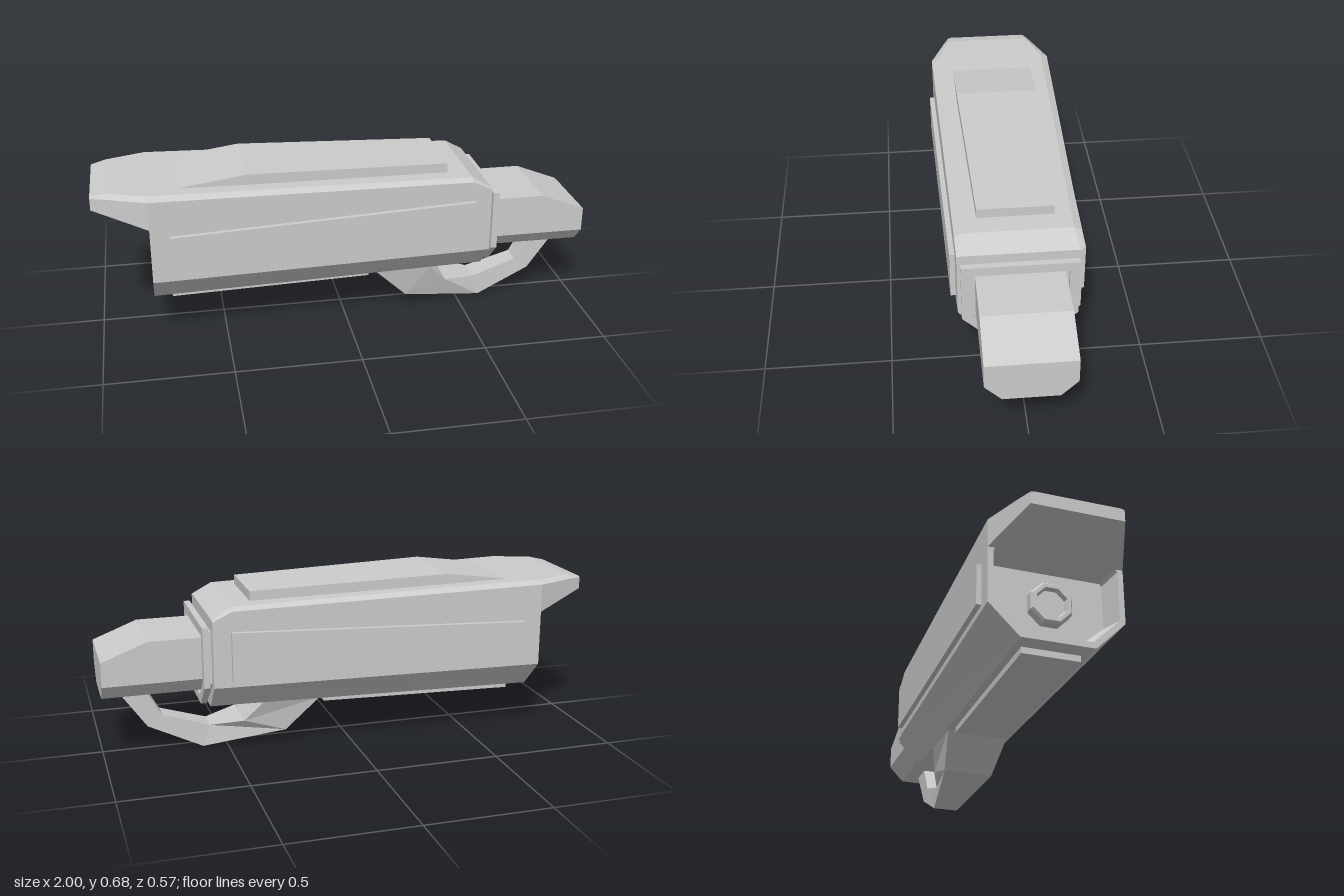
import * as THREE from 'three';

const material = new THREE.MeshStandardMaterial({ color: 0xcccccc, flatShading: true });

// Mirrors a half outline of [z, y] points (bottom to top) into a closed ring at x.
const sym = (x, half) => [
  ...half.map(([z, y]) => [x, y, z]),
  ...half.slice().reverse().map(([z, y]) => [x, y, -z]),
];

// Rectangular ring at x.
const rect = (x, z0, z1, y0, y1) => [[x, y0, z1], [x, y1, z1], [x, y1, z0], [x, y0, z0]];

// Skins a list of rings and closes both ends.
function loft(name, rings) {
  const pos = [];
  const tri = (a, b, c) => pos.push(...a, ...b, ...c);
  const n = rings[0].length;
  for (let k = 0; k < rings.length - 1; k++) {
    const a = rings[k], b = rings[k + 1];
    for (let i = 0; i < n; i++) {
      const j = (i + 1) % n;
      tri(a[i], b[i], a[j]);
      tri(b[i], b[j], a[j]);
    }
  }
  const first = rings[0], last = rings[rings.length - 1];
  for (let i = 1; i < n - 1; i++) {
    tri(first[0], first[i], first[i + 1]);
    tri(last[0], last[i + 1], last[i]);
  }
  const geometry = new THREE.BufferGeometry();
  geometry.setAttribute('position', new THREE.Float32BufferAttribute(pos, 3));
  geometry.computeVertexNormals();
  const mesh = new THREE.Mesh(geometry, material);
  mesh.name = name;
  return mesh;
}

export function createModel() {
  const model = new THREE.Group();
  model.name = 'securityCamera';

  // Housing: starts at the floor of the lens recess, folds over the rim, then runs back
  model.add(loft('housing', [
    sym(-0.69, [[0.11, 0.215], [0.22, 0.31], [0.22, 0.49], [0.21, 0.5]]),
    sym(-0.785, [[0.135, 0.195], [0.243, 0.3], [0.243, 0.505], [0.235, 0.515]]),
    sym(-0.785, [[0.145, 0.17], [0.265, 0.29], [0.265, 0.63], [0.235, 0.645]]),
    sym(0.5, [[0.134, 0.196], [0.237, 0.303], [0.237, 0.607], [0.21, 0.62]]),
    sym(0.578, [[0.133, 0.197], [0.234, 0.304], [0.234, 0.57], [0.225, 0.574]]),
  ]));

  // Visor over the lens
  model.add(loft('visor', [
    sym(-1, [[0.18, 0.58], [0.18, 0.628], [0.165, 0.632]]),
    sym(-0.94, [[0.204, 0.562], [0.204, 0.63], [0.18, 0.645]]),
    sym(-0.785, [[0.265, 0.515], [0.265, 0.63], [0.235, 0.645]]),
  ]));

  // Eight-sided lens in the recess
  const lensProfile = [[0.088, -0.04], [0.088, 0.03], [0.08, 0.04], [0.065, 0.04], [0.058, 0.022], [0, 0.022]];
  const lens = new THREE.Mesh(
    new THREE.LatheGeometry(lensProfile.map(([r, y]) => new THREE.Vector2(r, y)), 8, Math.PI / 8),
    material
  );
  lens.name = 'lens';
  lens.rotation.z = Math.PI / 2;
  lens.position.set(-0.695, 0.36, 0);
  model.add(lens);

  // Raised panels on the sides, top and bottom
  for (const s of [1, -1]) {
    const side = (x, zIn, zOut, y0, y1) =>
      rect(x, Math.min(s * zIn, s * zOut), Math.max(s * zIn, s * zOut), y0, y1);
    model.add(loft(s > 0 ? 'frontSidePanel' : 'backSidePanel', [
      side(-0.71, 0.24, 0.283, 0.315, 0.483),
      side(0.507, 0.21, 0.257, 0.33, 0.527),
    ]));
  }
  model.add(loft('topPanel', [
    rect(-0.665, -0.173, 0.173, 0.6, 0.643),
    rect(-0.4, -0.172, 0.172, 0.6, 0.68),
    rect(0.413, -0.148, 0.148, 0.6, 0.66),
  ]));
  model.add(loft('bottomPanel', [
    rect(-0.712, -0.115, 0.115, 0.146, 0.2),
    rect(0.103, -0.108, 0.108, 0.164, 0.22),
  ]));

  // Rear flange: narrow neck, stepped plate and a shallow socket for the tail
  const plate = [[0.125, 0.21], [0.221, 0.303], [0.221, 0.545]];
  const neck = [[0.112, 0.235], [0.2, 0.312], [0.2, 0.525]];
  const socket = [[0.109, 0.245], [0.183, 0.317], [0.183, 0.507]];
  model.add(loft('rearFlange', [
    sym(0.57, neck), sym(0.59, neck), sym(0.59, plate),
    sym(0.615, plate), sym(0.615, socket), sym(0.598, socket),
  ]));

  // Tail block with sloped end
  const tail = (x, top) => sym(x, [[0.105, 0.262], [0.168, 0.327], [0.168, top]]);
  model.add(loft('tail', [tail(0.59, 0.495), tail(0.82, 0.495), tail(1, 0.425)]));

  // Curved mounting arm: outer x, y, half width, then inner x, y, half width
  const arm = [
    [0.1, 0.22, 0.133, 0.335, 0.22, 0.133],
    [0.126, 0.192, 0.132, 0.362, 0.192, 0.132],
    [0.265, 0.055, 0.105, 0.436, 0.11, 0.102],
    [0.6, 0, 0.053, 0.57, 0.088, 0.052],
    [0.82, 0.106, 0.043, 0.76, 0.15, 0.043],
    [0.935, 0.27, 0.043, 0.828, 0.27, 0.043],
  ];
  model.add(loft('mountingArm', arm.map(([ox, oy, ow, ix, iy, iw]) => [
    [ox, oy, ow], [ix, iy, iw], [ix, iy, -iw], [ox, oy, -ow],
  ])));

  return model;
}
